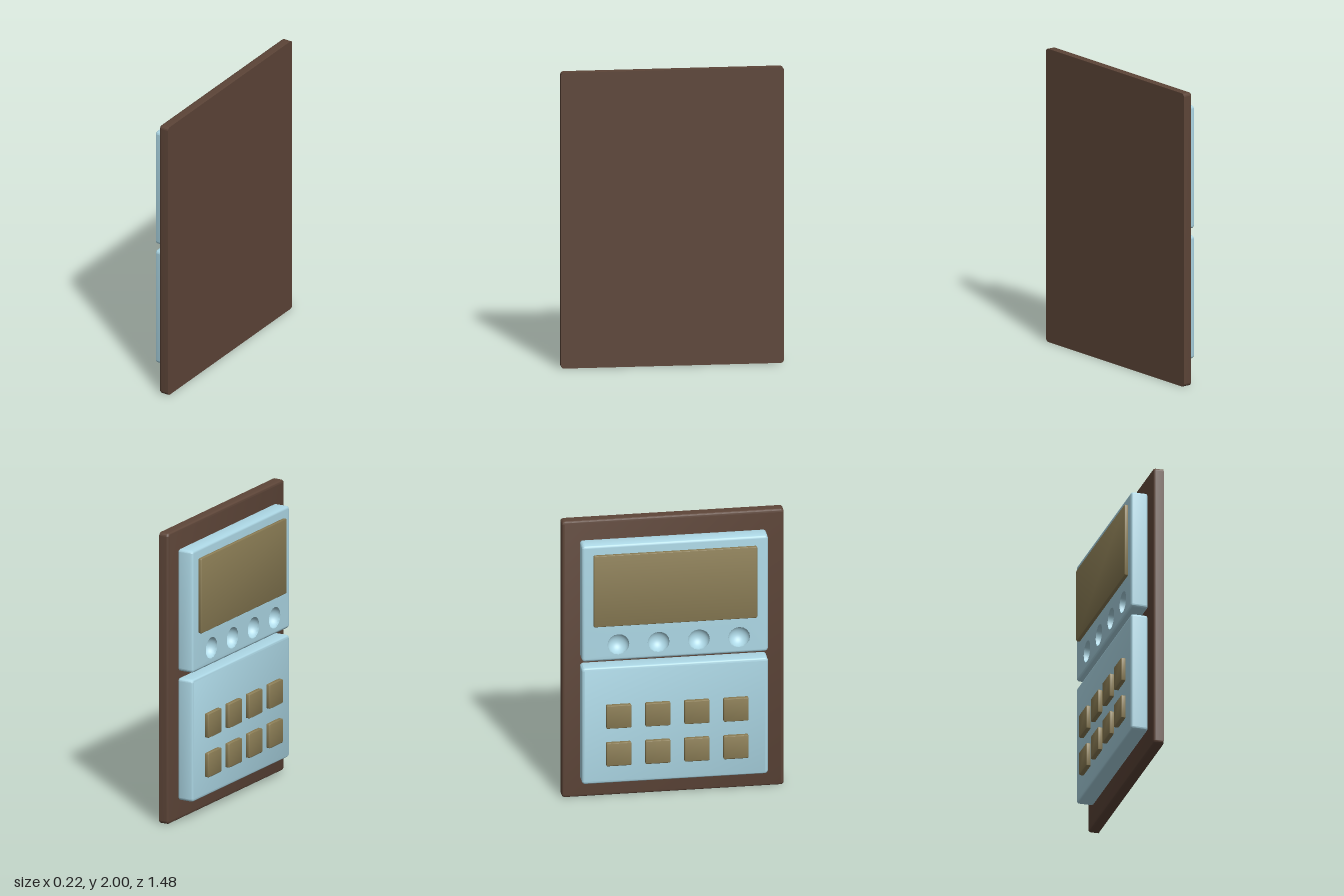
import * as THREE from 'three';
import { toCreasedNormals } from 'three/addons/utils/BufferGeometryUtils.js';

const material = (color) => new THREE.MeshStandardMaterial({ color });
const brown = material(0x5d4538);
const blue = material(0xadd8e6);
const olive = material(0x8b7d55);
const bowlBlue = material(0xadd8e6);
bowlBlue.side = THREE.DoubleSide;

const PANEL_FRONT = -0.08;
const BOWL_R = 0.073;

// Rounded slab between x0 (face) and x1 (back); holes are [z, y] centres of radius BOWL_R
function slab(name, mat, [x0, x1], [y0, y1], [z0, z1], bevel, { flatBack = false, holes = [] } = {}) {
  const r = bevel * 1.25;
  const shape = new THREE.Shape();
  shape.absarc(z1 - r, y1 - r, r, 0, Math.PI / 2);
  shape.absarc(z0 + r, y1 - r, r, Math.PI / 2, Math.PI);
  shape.absarc(z0 + r, y0 + r, r, Math.PI, Math.PI * 1.5);
  shape.absarc(z1 - r, y0 + r, r, Math.PI * 1.5, Math.PI * 2);
  shape.closePath();
  for (const [z, y] of holes) {
    shape.holes.push(new THREE.Path().absarc(z, y, BOWL_R, 0, Math.PI * 2, true));
  }
  const back = flatBack ? x1 + bevel : x1;
  const geo = new THREE.ExtrudeGeometry(shape, {
    depth: back - x0 - 2 * bevel, bevelEnabled: true, bevelThickness: bevel,
    bevelSize: bevel, bevelOffset: -bevel, bevelSegments: 4, curveSegments: 8,
  });
  geo.rotateY(-Math.PI / 2);
  geo.translate(back - bevel, 0, 0);

  // Flatten the back edge and keep the hole walls straight
  const p = geo.attributes.position;
  for (let i = 0; i < p.count; i++) {
    p.setX(i, Math.min(p.getX(i), x1));
    for (const [z, y] of holes) {
      const dz = p.getZ(i) - z, dy = p.getY(i) - y, d = Math.hypot(dz, dy);
      if (d < BOWL_R + bevel * 1.1) {
        p.setZ(i, z + (dz / d) * BOWL_R);
        p.setY(i, y + (dy / d) * BOWL_R);
      }
    }
  }
  const mesh = new THREE.Mesh(toCreasedNormals(geo, 0.6), mat);
  mesh.name = name;
  return mesh;
}

export function createModel() {
  const model = new THREE.Group();
  model.name = 'controlPanel';

  // Backing board
  model.add(slab('backBoard', brown, [0.035, 0.105], [0, 2], [-0.74, 0.74], 0.018, { flatBack: true }));

  // Upper panel with a row of round recesses below the display
  const holes = [0, 1, 2, 3].map((i) => [-0.38 + i * 0.268, 1.145]);
  model.add(slab('upperPanel', blue, [PANEL_FRONT, 0.036], [1.028, 1.867], [-0.622, 0.618], 0.018, { holes }));
  const bowl = new THREE.SphereGeometry(BOWL_R, 32, 12, 0, Math.PI * 2, 0, Math.PI / 2);
  bowl.rotateZ(-Math.PI / 2);
  for (const [z, y] of holes) {
    const recess = new THREE.Mesh(bowl, bowlBlue);
    recess.name = 'roundRecess';
    recess.position.set(PANEL_FRONT, y, z);
    model.add(recess);
  }
  model.add(slab('display', olive, [-0.105, PANEL_FRONT + 0.004], [1.286, 1.802], [-0.547, 0.543], 0.009));

  // Lower panel with two rows of keys
  model.add(slab('lowerPanel', blue, [PANEL_FRONT, 0.036], [0.14, 0.98], [-0.622, 0.618], 0.018));
  for (const y of [0.275, 0.547]) {
    for (let i = 0; i < 4; i++) {
      const z = -0.463 + i * 0.26;
      model.add(slab('key', olive, [-0.11, PANEL_FRONT + 0.004], [y, y + 0.167], [z, z + 0.167], 0.008));
    }
  }
  return model;
}
